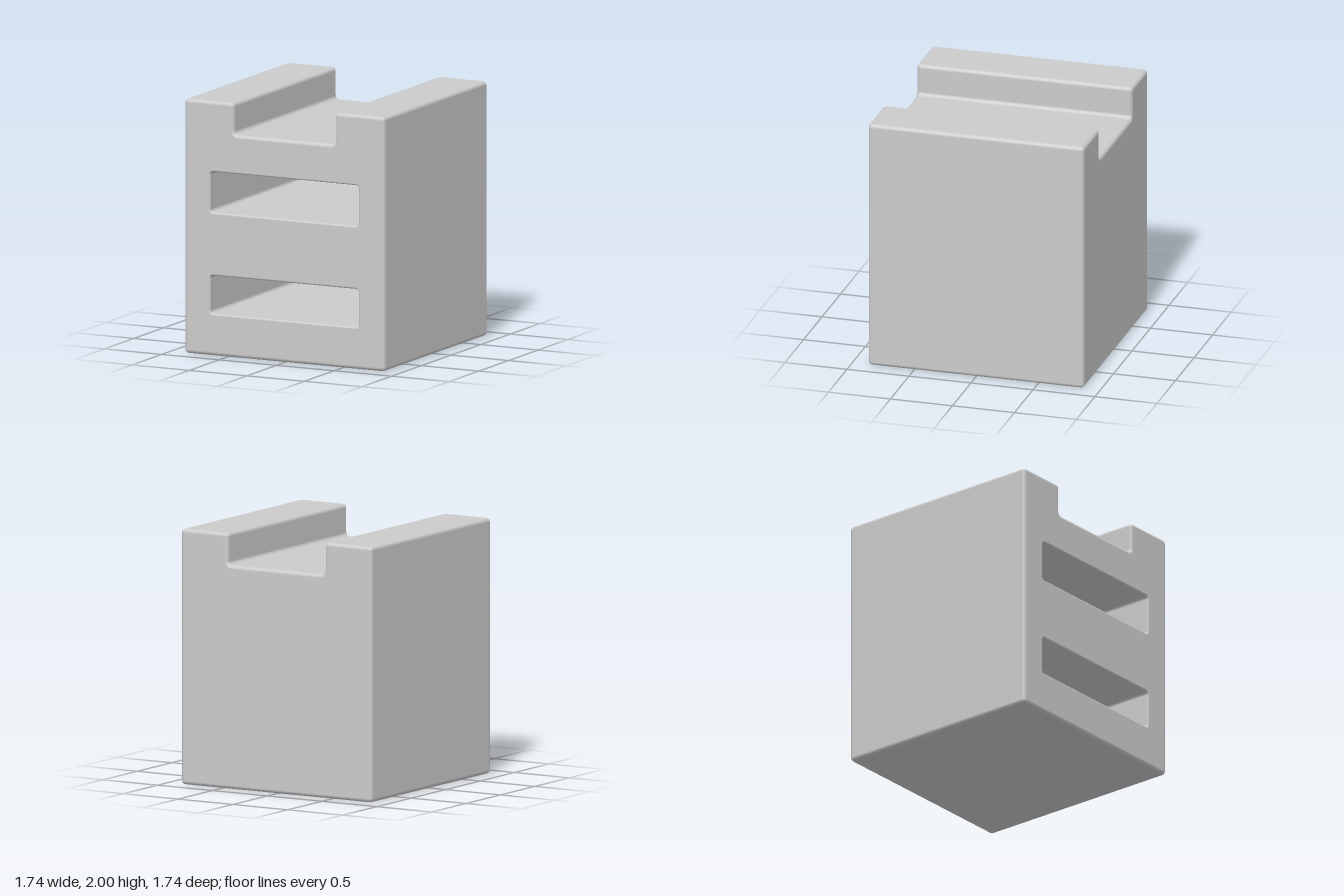
import * as THREE from 'three';

const W = 0.87, H = 2, D = 0.87;      // half width, height, half depth
const BEVEL = 0.03, STEPS = 5;
const POCKET_BACK = -0.65;

// Rounded right-angled outline: points with normals pointing out of the material.
function roundedOutline(corners, r) {
  const out = [], n = corners.length;
  corners.forEach((c, i) => {
    const p = new THREE.Vector2(...c);
    const a = p.clone().sub(new THREE.Vector2(...corners[(i + n - 1) % n])).normalize();
    const b = new THREE.Vector2(...corners[(i + 1) % n]).sub(p).normalize();
    const sign = a.cross(b) > 0 ? 1 : -1;
    const centre = p.clone().addScaledVector(a, -r).addScaledVector(b, r);
    for (let k = 0; k <= STEPS; k++) {
      const t = (k / STEPS) * Math.PI / 2;
      const normal = new THREE.Vector2(a.y, -a.x).multiplyScalar(Math.cos(t))
        .addScaledVector(new THREE.Vector2(b.y, -b.x), Math.sin(t));
      out.push({ p: centre.clone().addScaledVector(normal, sign * r), normal });
    }
  });
  return out;
}

const inset = (outline, d) => outline.map(({ p, normal }) => p.clone().addScaledVector(normal, -d));

// Wall through rings ordered back to front; each ring is { z, d: inset, tilt: normal angle toward +z }.
function wall(outline, rings) {
  const pos = [], nor = [], idx = [], n = outline.length;
  rings.forEach(({ z, d, tilt }, k) => {
    inset(outline, d).forEach((q, i) => {
      const { normal } = outline[i], c = Math.cos(tilt);
      pos.push(q.x, q.y, z);
      nor.push(normal.x * c, normal.y * c, Math.sin(tilt));
      if (k === rings.length - 1) return;
      const j = (i + 1) % n, a = k * n + i, b = k * n + j;
      idx.push(a, b, b + n, a, b + n, a + n);
    });
  });
  const g = new THREE.BufferGeometry();
  g.setAttribute('position', new THREE.Float32BufferAttribute(pos, 3));
  g.setAttribute('normal', new THREE.Float32BufferAttribute(nor, 3));
  g.setIndex(idx);
  return g;
}

// Quarter-round edge at the front (+1) or back (-1) of a wall.
function roundEdge(z, r, side) {
  const rings = [];
  for (let k = 0; k <= STEPS; k++) {
    const t = (k / STEPS) * Math.PI / 2;
    rings.push({ z: z - side * r * (1 - Math.sin(t)), d: r * (1 - Math.cos(t)), tilt: side * t });
  }
  return side > 0 ? rings : rings.reverse();
}

// Concave fillet where a pocket wall meets its back.
function pocketFillet(z, r) {
  const rings = [];
  for (let k = 0; k <= STEPS; k++) {
    const t = (1 - k / STEPS) * Math.PI / 2;
    rings.push({ z: z + r * (1 - Math.sin(t)), d: -r * (1 - Math.cos(t)), tilt: t });
  }
  return rings;
}

export function createModel() {
  const group = new THREE.Group();
  const material = new THREE.MeshStandardMaterial({ color: 0xcccccc });
  const add = (name, geometry, z = 0) => {
    const mesh = new THREE.Mesh(geometry, material);
    mesh.name = name;
    mesh.position.z = z;
    group.add(mesh);
    return mesh;
  };

  // Block with a channel along the top
  const block = roundedOutline([
    [-W, 0], [W, 0], [W, H], [0.44, H], [0.44, 1.75], [-0.44, 1.75], [-0.44, H], [-W, H],
  ], 0.03);
  add('blockSides', wall(block, [...roundEdge(-D, BEVEL, -1), ...roundEdge(D, BEVEL, 1)]));
  const face = () => new THREE.Shape(inset(block, BEVEL));
  add('blockBack', new THREE.ShapeGeometry(face()).rotateY(Math.PI), -D);

  // Two wide pockets let into the front
  const front = face();
  [['lowerPocket', 0.33, 0.63], ['upperPocket', 1.125, 1.445]].forEach(([name, y0, y1]) => {
    const x = 0.645, lip = 0.015, fillet = 0.02;
    const outline = roundedOutline([[-x, y0], [-x, y1], [x, y1], [x, y0]], 0.025);
    add(name + 'Walls', wall(outline, [...pocketFillet(POCKET_BACK, fillet), ...roundEdge(D, lip, 1)]));
    add(name + 'Back', new THREE.ShapeGeometry(new THREE.Shape(inset(outline, -fillet))), POCKET_BACK);
    front.holes.push(new THREE.Path(inset(outline, lip)));
  });
  add('blockFront', new THREE.ShapeGeometry(front), D);

  return group;
}
